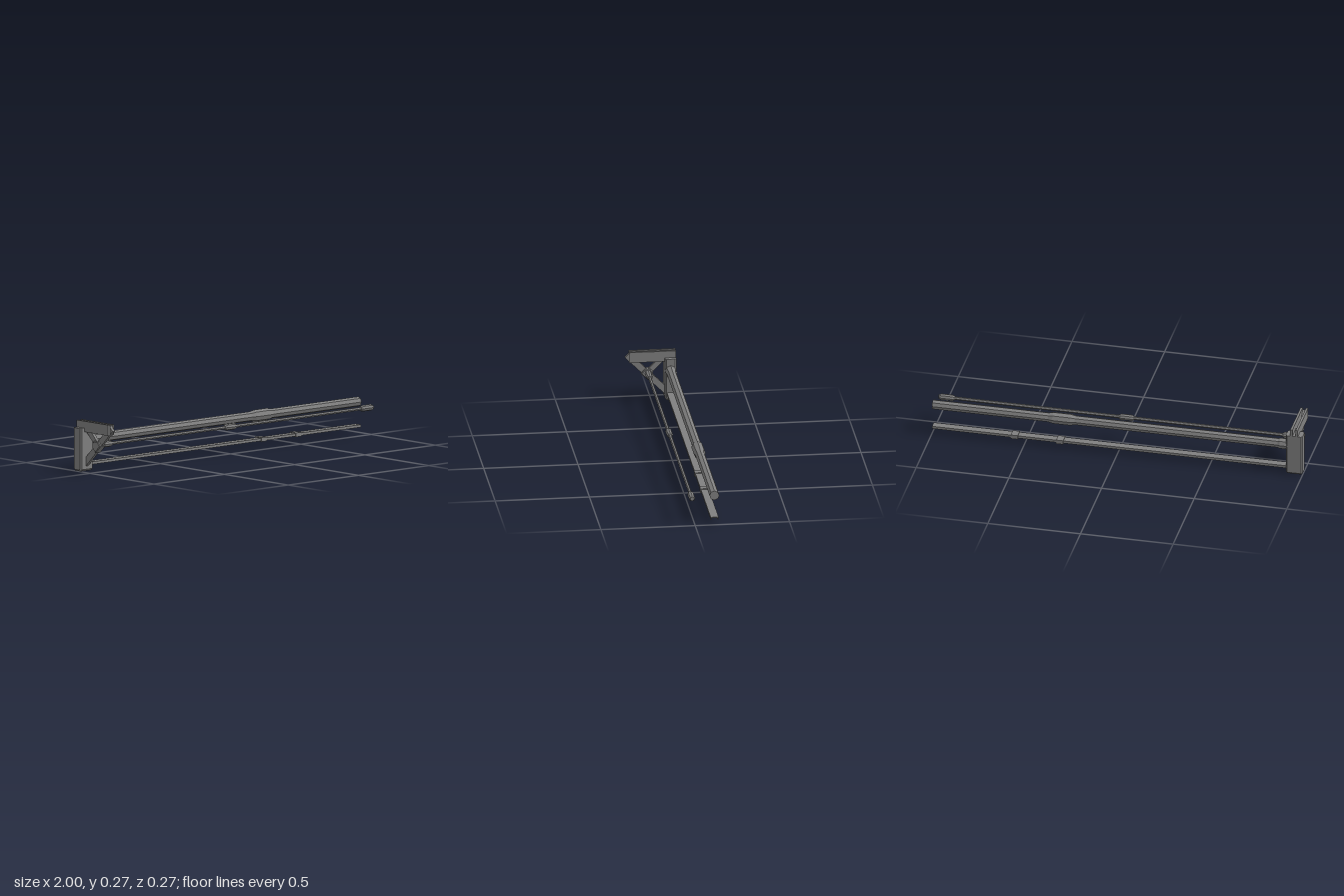
import * as THREE from 'three';

const steel = new THREE.MeshStandardMaterial({ color: 0x808080, flatShading: true });
steel.name = 'steel grey';

export function createModel() {
  const root = new THREE.Group();
  root.name = 'bracketAndRods';

  const add = (name, geometry) => {
    const mesh = new THREE.Mesh(geometry, steel);
    mesh.name = name;
    root.add(mesh);
    return mesh;
  };

  const box = (name, x0, x1, y0, y1, z0, z1) =>
    add(name, new THREE.BoxGeometry(x1 - x0, y1 - y0, z1 - z0))
      .position.set((x0 + x1) / 2, (y0 + y1) / 2, (z0 + z1) / 2);

  // Solid turned along x; profile is [x, radius] from left to right
  const turned = (name, y, z, sides, profile) => {
    const pts = profile.map(([x, r]) => new THREE.Vector2(r, x));
    pts.unshift(new THREE.Vector2(0, profile[0][0]));
    pts.push(new THREE.Vector2(0, profile[profile.length - 1][0]));
    const g = new THREE.LatheGeometry(pts, sides);
    g.rotateZ(-Math.PI / 2);
    add(name, g).position.set(0, y, z);
  };

  // Plate drawn with [z, y] corners and given thickness along x
  const plateGeometry = (corners, thickness, bevel = 0) => {
    const shape = new THREE.Shape(corners.map(([z, y]) => new THREE.Vector2(z, y)));
    const depth = thickness - 2 * bevel;
    const g = new THREE.ExtrudeGeometry(shape, {
      depth, bevelEnabled: bevel > 0, bevelThickness: bevel,
      bevelSize: bevel, bevelOffset: -bevel, bevelSegments: 1,
    });
    g.translate(0, 0, -depth / 2);
    g.rotateY(-Math.PI / 2);
    return g;
  };

  const cx = -0.955;

  // Upright column with chamfered edges and a flat top
  const column = plateGeometry([
    [-0.133, 0.26], [-0.133, 0.01], [-0.123, 0], [-0.082, 0], [-0.072, 0.01], [-0.072, 0.26],
  ], 0.09, 0.008);
  const p = column.attributes.position;
  for (let i = 0; i < p.count; i++) p.setY(i, Math.min(p.getY(i), 0.23));
  add('column', column).position.x = cx;

  // Twin plates of the top arm, with the struts held between them
  for (const s of [-1, 1]) {
    const x = cx + s * 0.0145;
    box('armPlate', x - 0.006, x + 0.006, 0.21, 0.267, -0.133, 0.115);
  }
  add('longStrut', plateGeometry([
    [0.136, 0.235], [0.112, 0.259], [-0.085, 0.062], [-0.085, 0.014],
  ], 0.017)).position.x = cx;
  add('shortStrut', plateGeometry([
    [0.03, 0.15], [-0.05, 0.232], [-0.09, 0.23], [0, 0.142],
  ], 0.017)).position.x = cx;

  // Pivot block where the struts meet
  add('pivotBlock', plateGeometry([
    [0.052, 0.145], [0.033, 0.168], [0, 0.168], [-0.01, 0.157], [-0.01, 0.13], [0.013, 0.107],
  ], 0.042, 0.004)).position.x = cx;

  // Main tube with root collar and mid sleeve
  const ty = 0.164, tz = -0.102;
  turned('mainTube', ty, tz, 8, [[-0.93, 0.026], [1, 0.026]]);
  turned('rootCollar', ty, tz, 8, [[-0.92, 0.03], [-0.875, 0.03], [-0.865, 0.026]]);
  turned('midSleeve', ty, tz, 8, [[0.23, 0.026], [0.255, 0.032], [0.35, 0.032], [0.375, 0.026]]);

  // Slim rod with three couplers
  const ry = 0.148, rz = 0.015;
  turned('slimRod', ry, rz, 6, [[-0.94, 0.009], [0.95, 0.009]]);
  for (const [a, b] of [[-0.945, -0.86], [-0.06, 0.022], [0.908, 0.995]]) {
    turned('rodCoupler', ry, rz, 8, [[a, 0.011], [a + 0.012, 0.017], [b - 0.012, 0.017], [b, 0.011]]);
  }

  // Lower rail: shallow channel open underneath, with two clips
  box('railTop', -0.93, 1, 0.038, 0.043, -0.124, -0.082);
  box('railFlange', -0.93, 1, 0.029, 0.038, -0.124, -0.119);
  box('railFlange', -0.93, 1, 0.029, 0.038, -0.087, -0.082);
  for (const x of [0.31, 0.555]) box('railClip', x - 0.019, x + 0.019, 0.025, 0.047, -0.13, -0.079);

  return root;
}
